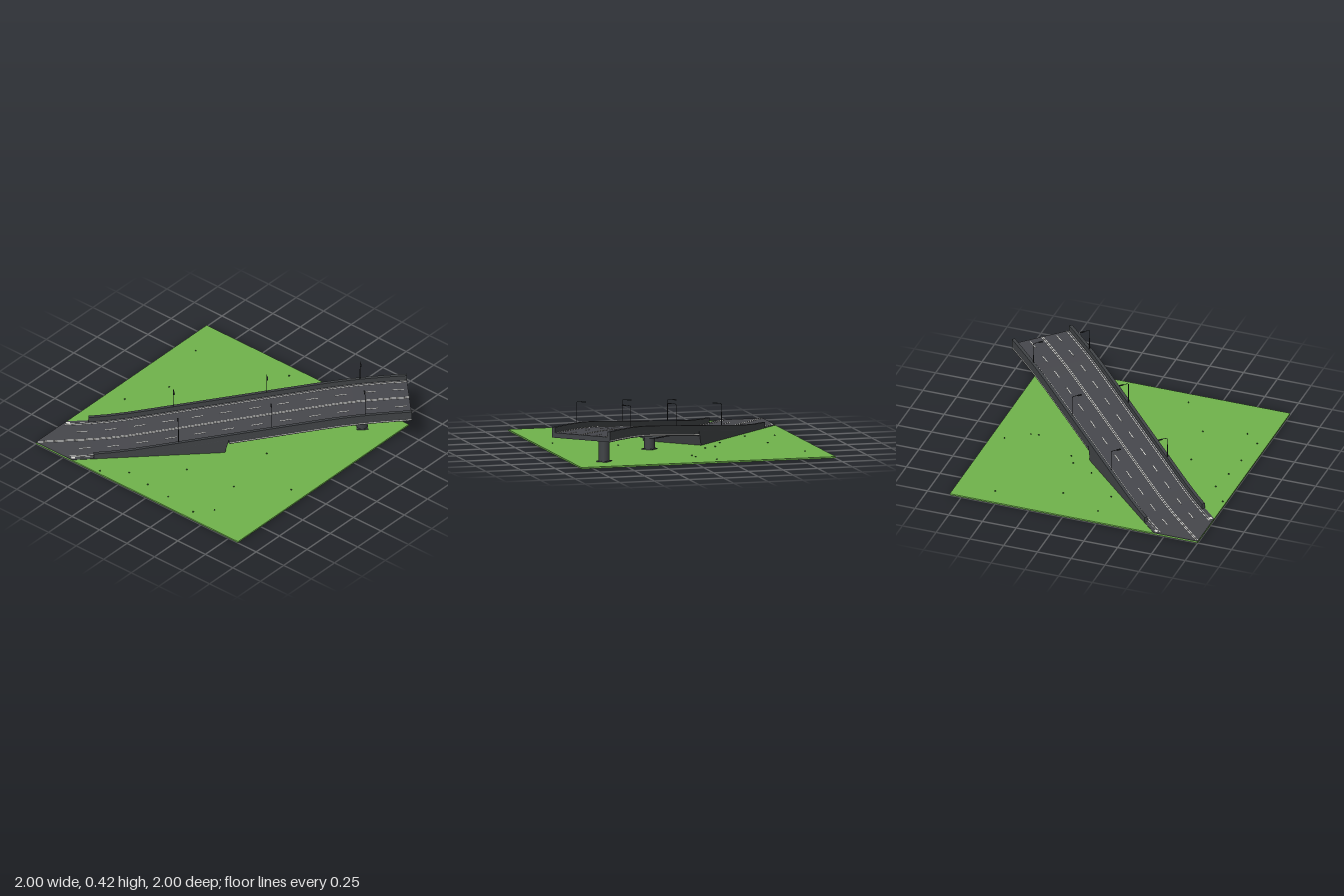
import * as THREE from 'three';

const mat = (name, color) => Object.assign(new THREE.MeshStandardMaterial({ color }), { name });

// Road surface height [distance along road, y]
const PROFILE = [[-1.414, 0.015], [-1.184, 0.015], [-1.03, 0.015], [-0.9, 0.02], [-0.76, 0.032], [-0.6, 0.052],
  [0.23, 0.159], [0.6, 0.206], [0.7, 0.217], [0.8, 0.2255], [0.89, 0.2315], [1.05, 0.238], [1.185, 0.241]];
const NEAR = -1.414, FAR = 1.185, HALF = 0.23, WALL_END = -0.09, THICK = 0.035;

function roadY(u) {
  for (let i = 1; i < PROFILE.length; i++) {
    const [a, ya] = PROFILE[i - 1], [b, yb] = PROFILE[i];
    if (u <= b) return ya + (yb - ya) * (u - a) / (b - a);
  }
  return PROFILE[PROFILE.length - 1][1];
}

// Half width, tapering to a point at the ground corner
const halfWidth = (u) => Math.max(0, Math.min(HALF, u - NEAR));

// Closed sweep along the road; section(u) gives v0, v1, bottom, top and optional shift of the bottom
function sweep(u0, u1, section) {
  const us = [u0, ...PROFILE.map((p) => p[0]).filter((u) => u > u0 + 1e-4 && u < u1 - 1e-4), u1];
  const rings = us.map((u) => {
    const { v0, v1, bottom, top, shift = 0 } = section(u);
    return [[u + shift, bottom, v0], [u + shift, bottom, v1], [u, top, v1], [u, top, v0]];
  });
  const pos = [];
  const quad = (a, b, c, d) => pos.push(...a, ...b, ...c, ...a, ...c, ...d);
  for (let i = 0; i + 1 < rings.length; i++) {
    const p = rings[i], q = rings[i + 1];
    for (let k = 0; k < 4; k++) quad(p[k], q[k], q[(k + 1) % 4], p[(k + 1) % 4]);
  }
  const s = rings[0], e = rings[rings.length - 1];
  quad(s[0], s[1], s[2], s[3]);
  quad(e[0], e[3], e[2], e[1]);
  const geo = new THREE.BufferGeometry();
  geo.setAttribute('position', new THREE.Float32BufferAttribute(pos, 3));
  geo.computeVertexNormals();
  return geo;
}

export function createModel() {
  const model = new THREE.Group();
  model.name = 'rampBridge';
  const grass = mat('grass', 0x70b34c);
  const asphalt = mat('asphalt', 0x46474c);
  const concrete = mat('concrete', 0x404346);
  const paint = mat('whitePaint', 0xdcdcd6);
  const metal = mat('darkMetal', 0x26282b);
  const leaf = mat('darkLeaf', 0x2c5a24);

  const add = (parent, name, geo, material, x = 0, y = 0, z = 0) => {
    const mesh = new THREE.Mesh(geo, material);
    mesh.name = name;
    mesh.position.set(x, y, z);
    parent.add(mesh);
    return mesh;
  };

  // Ground slab
  add(model, 'ground', new THREE.BoxGeometry(1.835, 0.011, 1.835), grass, -0.0825, 0.0065, 0.0825);

  // Bridge runs along its local x axis, laid diagonally over the ground
  const bridge = new THREE.Group();
  bridge.name = 'bridge';
  bridge.rotation.y = Math.PI / 4;
  model.add(bridge);

  // Solid ramp, raised deck and road surface
  add(bridge, 'rampWall', sweep(NEAR, WALL_END, (u) => ({
    v0: -halfWidth(u), v1: halfWidth(u), bottom: 0, top: roadY(u) - 0.002, shift: u === WALL_END ? -0.03 : 0,
  })), concrete);
  add(bridge, 'deck', sweep(WALL_END, FAR, (u) => ({
    v0: -HALF, v1: HALF, bottom: roadY(u) - THICK, top: roadY(u) - 0.002,
  })), concrete);
  add(bridge, 'roadSurface', sweep(NEAR, FAR, (u) => ({
    v0: -halfWidth(u), v1: halfWidth(u), bottom: roadY(u) - 0.002, top: roadY(u),
  })), asphalt);

  // Painted line on the road
  const line = (name, u0, u1, v, w) => add(bridge, name, sweep(u0, u1, (u) => ({
    v0: v - w / 2, v1: v + w / 2, bottom: roadY(u), top: roadY(u) + 0.0015,
  })), paint);

  for (const side of [-1, 1]) {
    // Parapet with a pale strip along the lower edge of the deck
    const band = (a, b, low, high) => (u) => ({
      v0: Math.min(side * a, side * b), v1: Math.max(side * a, side * b), bottom: roadY(u) + low, top: roadY(u) + high,
    });
    add(bridge, 'parapet', sweep(-1.03, FAR, band(0.207, HALF, -0.001, 0.038)), concrete);
    add(bridge, 'deckEdgeStrip', sweep(WALL_END, FAR, band(HALF - 0.001, HALF + 0.001, -0.029, -0.024)), paint);

    line('centreLine', -1.4, FAR, side * 0.006, 0.005);
    line('edgeLine', -1.2, FAR, side * 0.186, 0.005);
    line('outerLine', -1.18, FAR, side * 0.201, 0.003);
    line('entryMark', -1.185, -1.16, side * 0.206, 0.025);
    for (let u = 1.117; u > -1.26; u -= 0.2) line('laneDash', u - 0.04, u + 0.04, side * 0.1, 0.006);

    // Street lamps leaning over the road
    for (const u of [-0.44, 0.21, 0.86]) {
      const lamp = new THREE.Group();
      lamp.name = 'streetLamp';
      lamp.position.set(u, roadY(u), side * 0.214);
      bridge.add(lamp);
      add(lamp, 'lampPost', new THREE.CylinderGeometry(0.002, 0.003, 0.185, 8), metal, 0, 0.0925, 0);
      const path = new THREE.QuadraticBezierCurve3(new THREE.Vector3(0, 0.183, 0),
        new THREE.Vector3(0, 0.19, 0), new THREE.Vector3(0, 0.19, -side * 0.045));
      add(lamp, 'lampArm', new THREE.TubeGeometry(path, 8, 0.002, 6), metal);
      add(lamp, 'lampHead', new THREE.BoxGeometry(0.01, 0.006, 0.03), metal, 0, 0.188, -side * 0.055);
    }
  }

  // Piers with footing, round column and flared cap
  for (const u of [0.205, 0.856]) {
    const under = roadY(u) - THICK;
    const slope = (roadY(u + 0.04) - roadY(u - 0.04)) / 0.08;
    const pier = new THREE.Group();
    pier.name = 'pier';
    pier.position.x = u;
    bridge.add(pier);
    add(pier, 'footing', new THREE.BoxGeometry(0.08, 0.018, 0.08), concrete, 0, 0.009, 0);
    add(pier, 'column', new THREE.CylinderGeometry(0.038, 0.038, under, 16), concrete, 0, under / 2, 0);
    const shape = new THREE.Shape([[-0.04, -0.032], [0.04, -0.032], [0.14, -0.008], [0.14, 0.004], [-0.14, 0.004], [-0.14, -0.008]]
      .map(([x, y]) => new THREE.Vector2(x, y)));
    const cap = new THREE.ExtrudeGeometry(shape, { depth: 0.08, bevelEnabled: false });
    cap.translate(0, 0, -0.04).rotateY(Math.PI / 2);
    add(pier, 'pierCap', cap, concrete, 0, under, 0).rotation.z = Math.atan(slope);
  }

  // Small plants scattered on the grass
  const plants = [[-0.17, -0.74], [-0.06, -0.585], [-0.05, -0.53], [-0.86, -0.55], [-0.32, -0.175], [-0.235, -0.22],
    [-0.72, -0.1], [-0.4, -0.01], [-0.86, 0.21], [-0.65, 0.23], [0.31, 0.07], [0.72, 0.29], [0.39, 0.52], [0.01, 0.575],
    [0.47, 0.82], [0.37, 0.93], [0.12, 0.905], [-0.08, 0.885], [-0.27, 0.86], [-0.44, 0.975]];
  const bush = new THREE.IcosahedronGeometry(0.006, 0);
  for (const [x, z] of plants) add(model, 'plant', bush, leaf, x, 0.015, z);

  return model;
}
